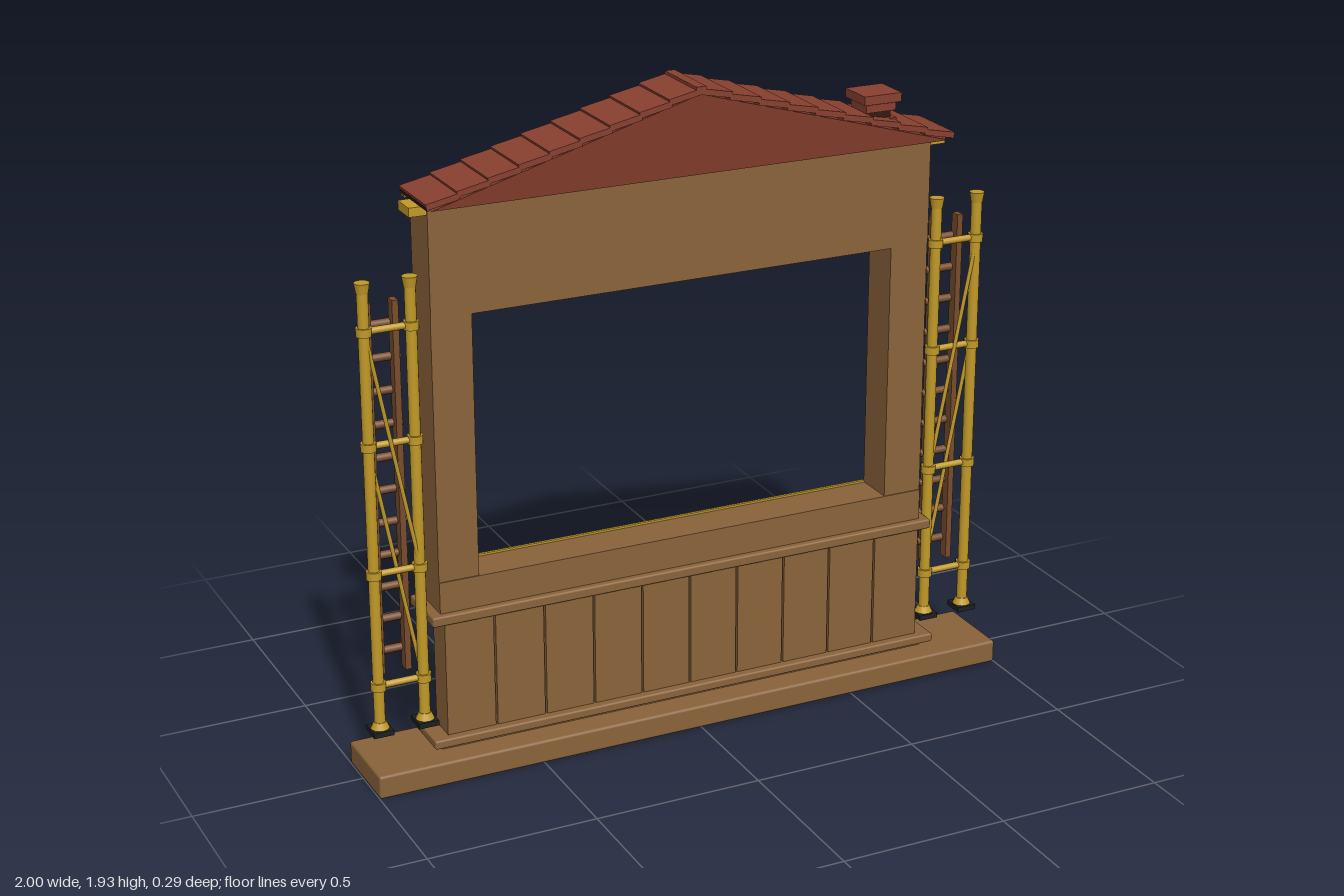
import * as THREE from 'three';
import { RoundedBoxGeometry } from 'three/addons/geometries/RoundedBoxGeometry.js';

const mat = (name, color) => Object.assign(new THREE.MeshStandardMaterial({ color }), { name });
const wood = mat('wood', 0x8a633a), darkWood = mat('dark wood', 0x774c2c), gold = mat('brass', 0xc29a28);
const roofRed = mat('roof tile red', 0x88402f), gableRed = mat('gable red', 0x7f3a2a), mortar = mat('mortar', 0x35190f);
const slate = mat('slate panel', 0x1b292b), black = mat('black iron', 0x1c1f20);
const bale = mat('bale', 0x85744a), straw = mat('straw marks', 0x4a3b20);

let seed = 7;
const rand = () => (seed = (seed * 16807) % 2147483647) / 2147483647;

function add(parent, name, geometry, material, x = 0, y = 0, z = 0) {
  const m = new THREE.Mesh(geometry, material);
  m.name = name;
  m.position.set(x, y, z);
  parent.add(m);
  return m;
}
// box given by its limits on each axis
function box(parent, name, material, x0, x1, y0, y1, z0, z1) {
  return add(parent, name, new THREE.BoxGeometry(x1 - x0, y1 - y0, z1 - z0), material, (x0 + x1) / 2, (y0 + y1) / 2, (z0 + z1) / 2);
}
// round bar between two points
function rod(parent, name, material, a, b, r, sides = 10) {
  const A = new THREE.Vector3(...a), B = new THREE.Vector3(...b), d = B.clone().sub(A);
  const m = add(parent, name, new THREE.CylinderGeometry(r, r, d.length(), sides), material);
  m.position.copy(A).add(B).multiplyScalar(0.5);
  m.quaternion.setFromUnitVectors(new THREE.Vector3(0, 1, 0), d.normalize());
  return m;
}
// flat outline in x, y extruded from z0 to z1
function plate(parent, name, material, points, z0, z1) {
  const s = new THREE.Shape(points.map(p => new THREE.Vector2(...p)));
  return add(parent, name, new THREE.ExtrudeGeometry(s, { depth: z1 - z0, bevelEnabled: false }), material, 0, 0, z0);
}
function group(parent, name) {
  const g = new THREE.Group();
  g.name = name;
  parent.add(g);
  return g;
}

function buildWall(root) {
  const g = group(root, 'wall');
  add(g, 'base', new RoundedBoxGeometry(2, 0.07, 0.245, 2, 0.008), wood, 0, 0.035, 0.018);
  box(g, 'baseTrim', gold, -0.98, 0.98, 0.045, 0.057, -0.112, -0.1);
  box(g, 'plinthCore', wood, -0.78, 0.78, 0.065, 0.09, -0.05, 0.06);
  add(g, 'plinth', new RoundedBoxGeometry(1.62, 0.027, 0.155, 2, 0.006), wood, 0, 0.098, 0.008);
  for (let i = 0; i < 10; i++) {
    const x = -0.765 + i * 0.153;
    box(g, 'plank', wood, x + 0.003, x + 0.15, 0.11, 0.458, -0.03, 0.06);
  }
  add(g, 'shelf', new RoundedBoxGeometry(1.6, 0.03, 0.18, 2, 0.006), wood, 0, 0.471, -0.02);
  // window frame
  box(g, 'sill', wood, -0.77, 0.77, 0.485, 0.58, -0.08, 0.05);
  box(g, 'header', wood, -0.77, 0.77, 1.355, 1.685, -0.08, 0.05);
  box(g, 'sillTrim', gold, -0.65, 0.65, 0.578, 0.586, -0.083, -0.074);
  for (const s of [-1, 1]) {
    add(g, 'post', new THREE.BoxGeometry(0.12, 0.776, 0.125), wood, s * 0.71, 0.968, -0.0155);
    add(g, 'eaveBracket', new THREE.BoxGeometry(0.06, 0.026, 0.08), gold, s * 0.79, 1.66, 0.005);
    // hazard strip
    box(g, 'hazardPlate', slate, s * 0.715 - 0.028, s * 0.715 + 0.028, 0.685, 1.27, -0.086, -0.077);
    for (let i = 0; i < 10; i++) {
      const y = 0.69 + i * 0.057, x = s * 0.715;
      plate(g, 'hazardStripe', gold, [[x - 0.028, y + 0.022], [x + 0.028, y], [x + 0.028, y + 0.028], [x - 0.028, y + 0.05]], -0.089, -0.084);
    }
    // bolts and diagonal braces
    for (const [x, y] of [[0.735, 1.33], [0.735, 0.62], [0.72, 0.53], [0.61, 0.53]])
      rod(g, 'bolt', black, [s * x, y, -0.075], [s * x, y, -0.091], 0.011);
    rod(g, 'brace', darkWood, [s * 0.735, 0.36, -0.055], [s * 0.55, 0.437, -0.055], 0.018);
    for (const [x, y] of [[0.715, 0.368], [0.57, 0.429]])
      rod(g, 'braceBolt', black, [s * x, y, -0.025], [s * x, y, -0.08], 0.009);
  }
}

function buildSigns(root) {
  const g = group(root, 'signBoards');
  const sign = (x, y, w, h) => {
    add(g, 'signFrame', new THREE.BoxGeometry(w, h, 0.018), gold, x, y, -0.087);
    add(g, 'signFace', new THREE.BoxGeometry(w - 0.022, h - 0.022, 0.006), slate, x, y, -0.096);
  };
  for (const x of [-0.485, -0.16, 0.16, 0.485]) sign(x, 1.56, 0.29, 0.11);
  sign(0, 1.437, 0.61, 0.13);
}

function buildRoof(root) {
  const g = group(root, 'roof');
  const base = 1.68, apex = 1.905, half = y => Math.max(0, 0.785 * (apex - y) / (apex - base));
  plate(g, 'gable', gableRed, [[-0.785, base], [0.785, base], [0, apex]], -0.066, 0.122);
  plate(g, 'mortarWall', mortar, [[-0.77, base], [0.77, base], [0, apex - 0.004]], -0.07, -0.064);
  // brick courses clipped to the gable
  for (let row = 0; row < 6; row++) {
    const y0 = base + 0.004 + row * 0.037, y1 = Math.min(y0 + 0.031, apex - 0.006);
    for (let i = -7; i <= 7; i++) {
      const x0 = i * 0.118 + (row % 2) * 0.059, x1 = x0 + 0.111;
      const c = (x, y) => [THREE.MathUtils.clamp(x, -half(y), half(y)), y];
      const p = [c(x0, y0), c(x1, y0), c(x1, y1), c(x0, y1)];
      if (p[1][0] - p[0][0] > 0.01) plate(g, 'brick', gableRed, p, -0.078, -0.068);
    }
  }
  // overlapping tile courses and rear rake trim
  const slope = Math.atan2(0.225, 0.795), len = 0.826;
  for (const s of [-1, 1]) {
    const side = group(g, 'roofSlope');
    side.position.set(0, apex, 0);
    side.rotation.z = -s * slope;
    for (let i = 0; i < 9; i++) {
      const w = len / 9;
      const t = add(side, 'tile', new THREE.BoxGeometry(w + 0.004, 0.017, 0.198), roofRed, s * (i + 0.5) * w, 0.011, 0.027);
      t.rotation.z = s * 0.075;
      add(side, 'tileJoint', new THREE.BoxGeometry(0.005, 0.012, 0.196), mortar, s * (i + 1) * w, 0.009, 0.027);
    }
    add(side, 'rakeTrim', new THREE.BoxGeometry(len, 0.018, 0.024), wood, s * len / 2, -0.004, -0.074);
  }
  add(g, 'ridge', new THREE.BoxGeometry(0.03, 0.02, 0.198), roofRed, 0, 1.917, 0.027);
  // chimney courses
  for (const [w, y0, y1] of [[0.085, 1.7, 1.738], [0.1, 1.741, 1.757], [0.075, 1.757, 1.776], [0.095, 1.778, 1.8], [0.118, 1.804, 1.83]])
    add(g, 'chimneyCourse', new THREE.BoxGeometry(w, y1 - y0, w - 0.006), roofRed, 0.582, (y0 + y1) / 2, 0.042);
  add(g, 'chimneyCore', new THREE.BoxGeometry(0.07, 0.12, 0.07), mortar, 0.582, 1.76, 0.042);
}

function buildGableFittings(root) {
  // half-dome lamp
  const lamp = group(root, 'domeLamp');
  lamp.position.set(0.25, 1.737, -0.076);
  add(lamp, 'dome', new THREE.SphereGeometry(0.066, 24, 12, Math.PI, Math.PI, 0, Math.PI / 2), gold);
  add(lamp, 'brim', new THREE.CylinderGeometry(0.07, 0.07, 0.008, 24, 1, false, Math.PI / 2, Math.PI), gold);
  // toothed wheel
  const w = group(root, 'gearWheel');
  w.position.set(-0.262, 1.75, -0.09);
  add(w, 'rim', new THREE.TorusGeometry(0.06, 0.013, 8, 32), black);
  for (let i = 0; i < 16; i++) {
    const a = i * Math.PI / 8;
    add(w, 'tooth', new THREE.BoxGeometry(0.016, 0.014, 0.018), black, 0.074 * Math.cos(a), 0.074 * Math.sin(a)).rotation.z = a;
  }
  for (let i = 0; i < 3; i++) {
    const a = i * Math.PI / 3, x = 0.054 * Math.cos(a), y = 0.054 * Math.sin(a);
    rod(w, 'spoke', gold, [-x, -y, 0], [x, y, 0], 0.005, 8);
  }
  rod(w, 'hub', gold, [0, 0, 0.012], [0, 0, -0.016], 0.019, 16);
}

function buildBales(root) {
  for (const x of [-0.545, -0.185, 0.175, 0.535]) {
    const g = group(root, 'bale');
    g.position.set(x, 0.22, -0.07);
    add(g, 'baleBody', new RoundedBoxGeometry(0.3, 0.18, 0.08, 3, 0.022), bale);
    for (const s of [-1, 1])
      add(g, 'strap', new RoundedBoxGeometry(0.022, 0.187, 0.088, 3, 0.022 / 2), bale, s * 0.1);
    for (let i = 0; i < 80; i++) {
      const flat = rand() < 0.65, l = 0.008 + rand() * 0.022;
      add(g, 'strawMark', new THREE.BoxGeometry(flat ? l : 0.003, flat ? 0.003 : l, 0.003), straw,
        (rand() - 0.5) * 0.24, (rand() - 0.5) * 0.125, -0.04);
    }
  }
}

function buildTower(root, s) {
  const g = group(root, s > 0 ? 'leftScaffold' : 'rightScaffold');
  const inner = s * 0.815, outer = s * 0.95, z = 0.02, levels = [0.29, 0.63, 1.01, 1.34];
  for (const x of [inner, outer]) {
    rod(g, 'pole', gold, [x, 0.15, z], [x, 1.47, z], 0.016, 14);
    add(g, 'poleCap', new THREE.CylinderGeometry(0.022, 0.017, 0.03, 14), gold, x, 1.463, z);
    add(g, 'footFlange', new THREE.CylinderGeometry(0.018, 0.027, 0.02, 14), gold, x, 0.17, z);
    add(g, 'foot', new THREE.BoxGeometry(0.06, 0.016, 0.065), black, x, 0.152, z);
    for (const y of levels) {
      add(g, 'collar', new THREE.CylinderGeometry(0.022, 0.022, 0.024, 14), gold, x, y, z);
      rod(g, 'collarBolt', black, [x, y, 0], [x, y, -0.012], 0.009, 8);
    }
  }
  for (const y of levels) rod(g, 'crossbar', gold, [inner, y, z], [outer, y, z], 0.01);
  rod(g, 'diagonal', gold, [outer, 1.34, z + 0.008], [inner, 0.63, z + 0.008], 0.006, 8);
  rod(g, 'diagonal', gold, [outer, 1.01, z - 0.008], [inner, 0.29, z - 0.008], 0.006, 8);
  // ladder behind the poles
  for (const x of [0.843, 0.922])
    add(g, 'ladderRail', new THREE.BoxGeometry(0.018, 1.1, 0.032), darkWood, s * x, 0.85, -0.038);
  for (let i = 0; i < 11; i++)
    rod(g, 'ladderRung', darkWood, [s * 0.825, 0.36 + i * 0.097, -0.052], [s * 0.94, 0.36 + i * 0.097, -0.052], 0.012);
}

export function createModel() {
  const root = new THREE.Group();
  root.name = 'stageBooth';
  buildWall(root);
  buildSigns(root);
  buildRoof(root);
  buildGableFittings(root);
  buildBales(root);
  for (const s of [-1, 1]) buildTower(root, s);
  return root;
}
